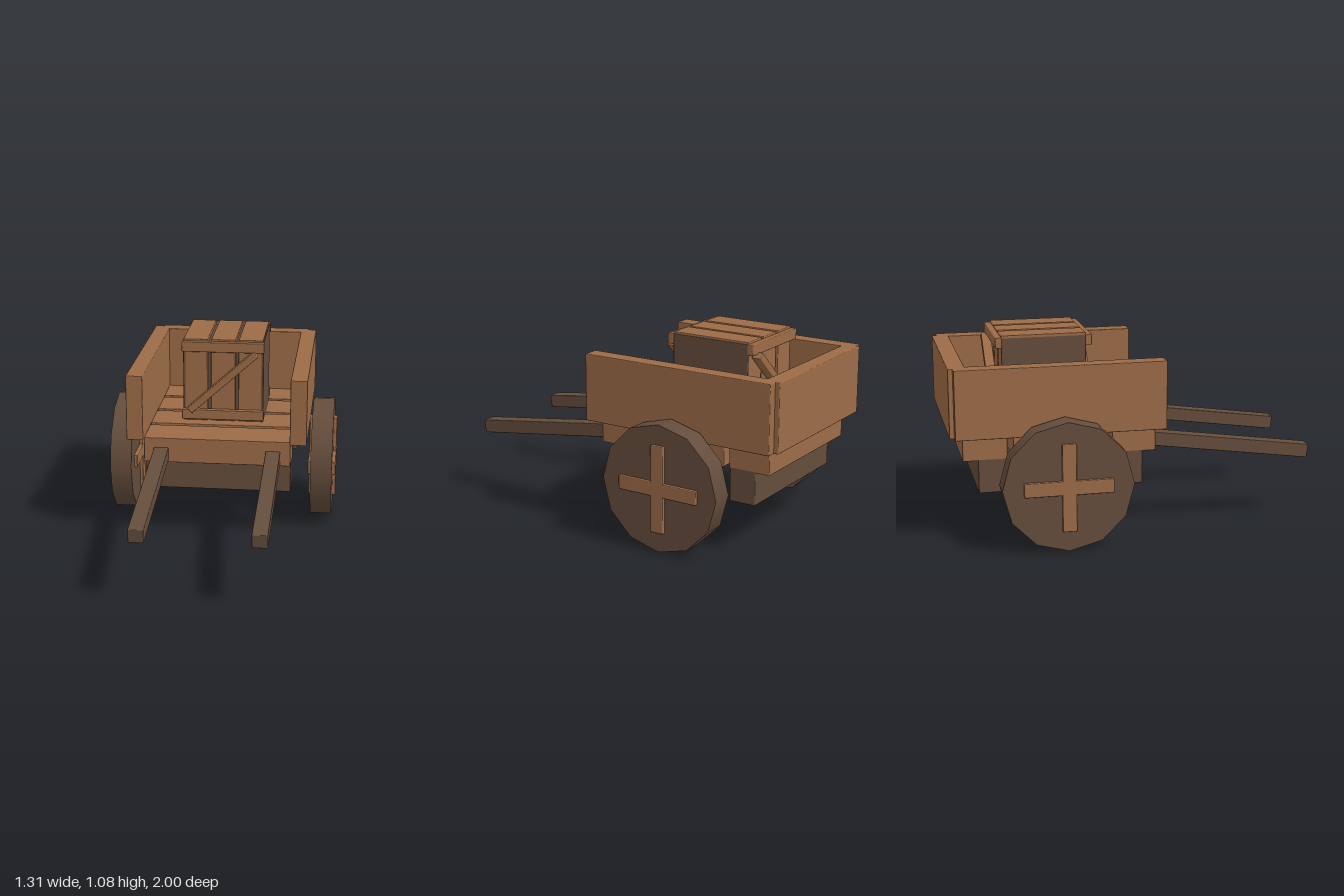
import * as THREE from 'three';
import { RoundedBoxGeometry } from 'three/addons/geometries/RoundedBoxGeometry.js';

const lightWood = new THREE.MeshStandardMaterial({ color: 0x9c6b47 });
const darkWood = new THREE.MeshStandardMaterial({ color: 0x654d3c });

// Slightly bevelled board given by its [min, max] extents on each axis
function board(parent, name, material, [x0, x1], [y0, y1], [z0, z1]) {
  const geometry = new RoundedBoxGeometry(x1 - x0, y1 - y0, z1 - z0, 1, 0.005);
  const mesh = new THREE.Mesh(geometry, material);
  mesh.position.set((x0 + x1) / 2, (y0 + y1) / 2, (z0 + z1) / 2);
  mesh.name = name;
  parent.add(mesh);
  return mesh;
}

function createBed() {
  const bed = new THREE.Group();
  bed.name = 'cartBed';
  // Four floor planks with gaps between them
  for (let i = 0; i < 4; i++) {
    const front = 0.107 - i * 0.267;
    board(bed, 'floorPlank', lightWood, [-0.41, 0.41], [0.458, 0.6], [front - 0.237, front]);
  }
  // Cross beams under the floor
  for (const z of [-0.04, -0.775]) {
    board(bed, 'crossBeam', darkWood, [-0.41, 0.41], [0.28, 0.47], [z - 0.075, z + 0.075]);
  }
  // Side walls and back wall
  board(bed, 'leftWall', lightWood, [0.407, 0.5], [0.596, 0.967], [-0.975, 0.148]);
  board(bed, 'rightWall', lightWood, [-0.5, -0.407], [0.596, 0.967], [-0.975, 0.148]);
  board(bed, 'backWall', lightWood, [-0.45, 0.45], [0.596, 0.967], [-1, -0.908]);
  return bed;
}

function createWheel(side) {
  const wheel = new THREE.Group();
  wheel.name = side > 0 ? 'leftWheel' : 'rightWheel';
  const disc = new THREE.Mesh(new THREE.CylinderGeometry(0.348, 0.348, 0.122, 12), darkWood);
  disc.name = 'wheelDisc';
  disc.rotation.z = Math.PI / 2;
  wheel.add(disc);
  // Cross boards showing on both faces
  board(wheel, 'uprightCrossBoard', lightWood, [-0.08, 0.08], [-0.237, 0.237], [-0.038, 0.038]);
  board(wheel, 'levelCrossBoard', lightWood, [-0.08, 0.08], [-0.038, 0.038], [-0.237, 0.237]);
  wheel.position.set(side * 0.576, 0.353, -0.408);
  return wheel;
}

function createShaft(side) {
  // Pull shaft sloping down towards the front, its root inside the floor plank
  const shaft = new THREE.Group();
  shaft.name = side > 0 ? 'leftShaft' : 'rightShaft';
  board(shaft, 'shaftBar', darkWood, [-0.041, 0.041], [-0.038, 0.038], [-0.94, 0]);
  shaft.position.set(side * 0.313, 0.381, 0.995);
  shaft.rotation.x = THREE.MathUtils.degToRad(8);
  return shaft;
}

function createCrate() {
  const crate = new THREE.Group();
  crate.name = 'crate';
  // Dark inner box and side panels
  board(crate, 'crateCore', darkWood, [-0.22, 0.22], [0.6, 1.06], [-0.21, 0.21]);
  for (const s of [-1, 1]) {
    board(crate, 'crateSide', darkWood, [s * 0.222 - 0.009, s * 0.222 + 0.009], [0.6, 1.072], [-0.228, 0.228]);
  }
  // Slats wrapping over front, top and back
  for (const x of [-0.16, 0, 0.157]) {
    board(crate, 'crateSlat', lightWood, [x - 0.07, x + 0.07], [0.6, 1.084], [-0.228, 0.228]);
  }
  // Battens and diagonal brace on front and back
  for (const s of [-1, 1]) {
    const z = s * 0.243;
    board(crate, 'lowerBatten', lightWood, [-0.236, 0.236], [0.615, 0.672], [z - 0.018, z + 0.018]);
    board(crate, 'upperBatten', lightWood, [-0.236, 0.236], [1.016, 1.074], [z - 0.018, z + 0.018]);
    const brace = board(crate, 'diagonalBrace', lightWood, [-0.255, 0.255], [-0.02, 0.02], [-0.027, 0.027]);
    brace.position.set(0, 0.843, s * 0.26);
    brace.rotation.z = 0.735;
  }
  crate.position.z = -0.464;
  return crate;
}

export function createModel() {
  const cart = new THREE.Group();
  cart.name = 'handCart';
  cart.add(createBed(), createCrate());
  for (const side of [-1, 1]) cart.add(createWheel(side), createShaft(side));
  return cart;
}
